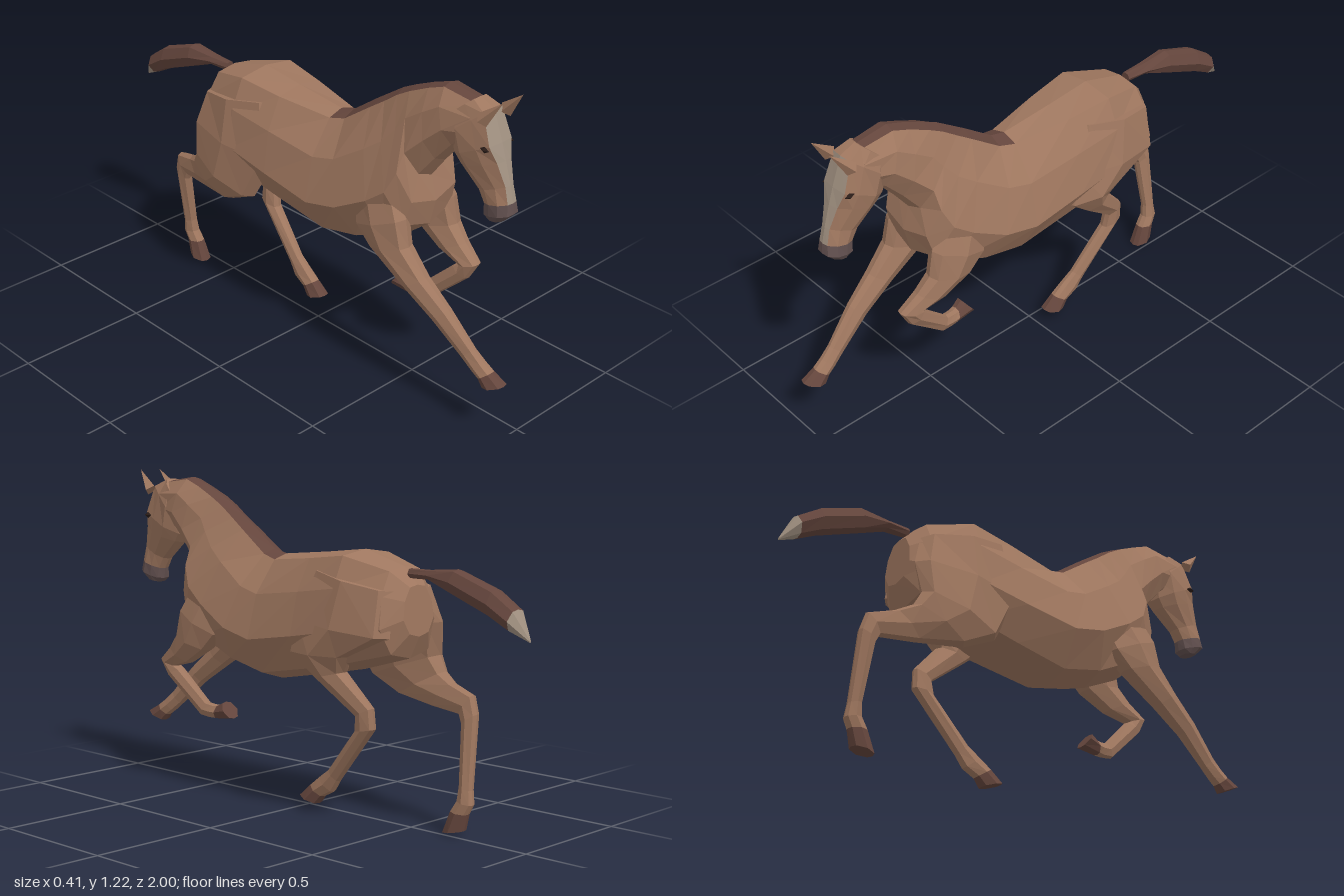
import * as THREE from 'three';

const COAT = 0x9f775f, DARK = 0x65463d, MUZZLE = 0x62504f, PALE = 0xa09080;

// A ring runs from a front/top point to a back/bottom point, widened sideways at each level
const LEVELS = { 3: [0.08, 0.5, 0.92], 4: [0.04, 0.3, 0.65, 0.93] };
function ring([z1, y1, z2, y2], x, widths) {
  const at = (t, dx) => new THREE.Vector3(x + dx, y1 + (y2 - y1) * t, z1 + (z2 - z1) * t);
  const levels = LEVELS[widths.length];
  const left = levels.map((t, k) => at(t, widths[k]));
  const right = levels.map((t, k) => at(t, -widths[k])).reverse();
  return [at(0, 0), ...left, at(1, 0), ...right];
}

// Skin over the rings; pick(segment, side) chooses which faces belong to the mesh
function skin(rings, pick = () => true, capStart = true, capEnd = true) {
  const pos = [], n = rings[0].length;
  const tri = (...p) => p.forEach(v => pos.push(v.x, v.y, v.z));
  for (let i = 0; i < rings.length - 1; i++) {
    for (let j = 0; j < n; j++) {
      if (!pick(i, j)) continue;
      const k = (j + 1) % n;
      const a = rings[i][j], b = rings[i][k], c = rings[i + 1][k], d = rings[i + 1][j];
      tri(a, d, c);
      tri(a, c, b);
    }
  }
  const cap = (r, flip) => {
    for (let j = 1; j < n - 1; j++) flip ? tri(r[0], r[j + 1], r[j]) : tri(r[0], r[j], r[j + 1]);
  };
  if (capStart) cap(rings[0], false);
  if (capEnd) cap(rings[rings.length - 1], true);
  const g = new THREE.BufferGeometry();
  g.setAttribute('position', new THREE.Float32BufferAttribute(pos, 3));
  g.computeVertexNormals();
  return g;
}

function part(parent, name, geometry, color) {
  const mesh = new THREE.Mesh(geometry, new THREE.MeshStandardMaterial({ color, flatShading: true }));
  mesh.name = name;
  parent.add(mesh);
  return mesh;
}

// Limb rows: front z, front y, back z, back y, x, half width; the last segments may be another colour
function limb(parent, name, rows, endName, endColor, color = COAT, endSegments = 1) {
  const group = new THREE.Group();
  group.name = name;
  parent.add(group);
  const rings = rows.map(r => ring(r, r[4], [0.6, 1, 0.6].map(k => k * r[5])));
  const split = rows.length - 1 - endSegments;
  part(group, name + 'Upper', skin(rings, i => i < split, true, false), color);
  part(group, endName, skin(rings, i => i >= split, false, true), endColor);
}

export function createModel() {
  const horse = new THREE.Group();
  horse.name = 'gallopingHorse';

  // Trunk and neck, from rump to poll: top z, top y, bottom z, bottom y, four half widths
  const trunk = [
    [-0.52, 0.86, -0.53, 0.68, 0.04, 0.07, 0.08, 0.05],
    [-0.46, 0.92, -0.49, 0.60, 0.08, 0.13, 0.15, 0.10],
    [-0.28, 0.97, -0.28, 0.54, 0.12, 0.17, 0.19, 0.13],
    [-0.10, 0.95, -0.08, 0.50, 0.10, 0.16, 0.19, 0.12],
    [0.12, 0.93, 0.14, 0.46, 0.06, 0.15, 0.19, 0.11],
    [0.18, 0.945, 0.32, 0.50, 0.05, 0.14, 0.185, 0.11],
    [0.30, 1.03, 0.47, 0.57, 0.045, 0.12, 0.17, 0.12],
    [0.36, 1.07, 0.56, 0.64, 0.04, 0.105, 0.16, 0.12],
    [0.42, 1.11, 0.585, 0.74, 0.04, 0.09, 0.14, 0.11],
    [0.48, 1.14, 0.56, 0.83, 0.04, 0.08, 0.11, 0.06],
    [0.56, 1.175, 0.62, 0.91, 0.035, 0.08, 0.095, 0.05],
    [0.63, 1.20, 0.69, 0.99, 0.035, 0.075, 0.085, 0.05],
    [0.78, 1.18, 0.74, 1.02, 0.03, 0.06, 0.065, 0.04],
  ].map(r => ring(r, 0, r.slice(4)));
  const isMane = (i, j) => i >= 4 && (j === 0 || j === 9);
  part(horse, 'body', skin(trunk, (i, j) => !isMane(i, j)), COAT);
  part(horse, 'mane', skin(trunk, isMane, false, false), DARK);

  // Head, from poll to lips
  const head = new THREE.Group();
  head.name = 'head';
  horse.add(head);
  const skull = [
    [0.76, 1.19, 0.68, 1.12, 0.03, 0.05, 0.06, 0.04],
    [0.82, 1.165, 0.665, 1.04, 0.045, 0.06, 0.075, 0.04],
    [0.86, 1.06, 0.675, 0.97, 0.055, 0.065, 0.07, 0.035],
    [0.88, 1.00, 0.70, 0.94, 0.035, 0.055, 0.06, 0.03],
    [0.905, 0.92, 0.785, 0.87, 0.02, 0.035, 0.04, 0.025],
    [0.92, 0.86, 0.81, 0.83, 0.022, 0.04, 0.04, 0.025],
    [0.925, 0.82, 0.815, 0.79, 0.028, 0.045, 0.042, 0.03],
    [0.89, 0.785, 0.83, 0.775, 0.02, 0.03, 0.03, 0.02],
  ].map(r => ring(r, 0, r.slice(4)));
  const isBlaze = (i, j) => i >= 1 && i < 5 && (j === 0 || j === 9);
  part(head, 'face', skin(skull, (i, j) => i < 5 && !isBlaze(i, j), true, false), COAT);
  part(head, 'blaze', skin(skull, isBlaze, false, false), PALE);
  part(head, 'muzzle', skin(skull, i => i >= 5, false, true), MUZZLE);

  // Eyes and ears
  for (const s of [1, -1]) {
    const eye = part(head, 'eye', new THREE.OctahedronGeometry(0.02), 0x2a1c18);
    eye.scale.set(0.5, 0.6, 1);
    eye.position.set(s * 0.061, 1.045, 0.838);
    const ear = part(head, 'ear', new THREE.ConeGeometry(0.026, 0.11, 4).translate(0, 0.04, 0), COAT);
    ear.position.set(s * 0.058, 1.155, 0.83);
    ear.rotation.set(0.75, 0, s * 0.1);
  }

  // Hind legs
  limb(horse, 'leftHindLeg', [
    [-0.14, 0.90, -0.49, 0.84, 0.09, 0.08],
    [-0.07, 0.72, -0.50, 0.68, 0.12, 0.08],
    [-0.05, 0.60, -0.32, 0.60, 0.13, 0.07],
    [-0.16, 0.51, -0.28, 0.54, 0.115, 0.05],
    [-0.32, 0.385, -0.39, 0.42, 0.085, 0.03],
    [-0.31, 0.33, -0.395, 0.345, 0.08, 0.03],
    [-0.17, 0.17, -0.215, 0.13, 0.065, 0.025],
    [-0.12, 0.135, -0.185, 0.085, 0.062, 0.028],
    [-0.075, 0.10, -0.135, 0.06, 0.06, 0.03],
    [-0.025, 0.055, -0.11, 0.03, 0.06, 0.038],
  ], 'hoof', DARK);
  limb(horse, 'rightHindLeg', [
    [-0.14, 0.90, -0.49, 0.84, -0.09, 0.08],
    [-0.10, 0.68, -0.53, 0.72, -0.12, 0.08],
    [-0.20, 0.50, -0.51, 0.60, -0.14, 0.07],
    [-0.33, 0.44, -0.54, 0.545, -0.135, 0.05],
    [-0.50, 0.42, -0.60, 0.515, -0.11, 0.035],
    [-0.645, 0.41, -0.70, 0.485, -0.09, 0.03],
    [-0.66, 0.38, -0.72, 0.42, -0.085, 0.03],
    [-0.68, 0.17, -0.73, 0.16, -0.05, 0.025],
    [-0.675, 0.12, -0.738, 0.11, -0.045, 0.028],
    [-0.65, 0.08, -0.72, 0.075, -0.042, 0.03],
    [-0.62, 0.0, -0.705, 0.015, -0.04, 0.038],
  ], 'hoof', DARK);

  // Front legs: the right reaches forward, the left is folded; both share a shoulder
  const shoulder = s => [
    [0.48, 0.84, 0.30, 0.72, s * 0.09, 0.06],
    [0.56, 0.70, 0.34, 0.61, s * 0.12, 0.06],
    [0.58, 0.60, 0.41, 0.55, s * 0.123, 0.055],
  ];
  limb(horse, 'rightFrontLeg', [
    ...shoulder(-1),
    [0.66, 0.51, 0.57, 0.45, -0.12, 0.045],
    [0.76, 0.425, 0.70, 0.365, -0.11, 0.035],
    [0.87, 0.31, 0.82, 0.265, -0.095, 0.025],
    [0.91, 0.275, 0.865, 0.23, -0.09, 0.028],
    [0.945, 0.25, 0.895, 0.21, -0.087, 0.03],
    [1.0, 0.22, 0.915, 0.185, -0.085, 0.038],
  ], 'hoof', DARK);
  limb(horse, 'leftFrontLeg', [
    ...shoulder(1),
    [0.63, 0.545, 0.52, 0.49, 0.115, 0.045],
    [0.70, 0.49, 0.62, 0.465, 0.105, 0.035],
    [0.665, 0.425, 0.60, 0.455, 0.10, 0.032],
    [0.505, 0.28, 0.475, 0.335, 0.075, 0.025],
    [0.46, 0.275, 0.44, 0.33, 0.07, 0.027],
    [0.43, 0.275, 0.42, 0.33, 0.065, 0.03],
    [0.345, 0.285, 0.39, 0.345, 0.06, 0.038],
  ], 'hoof', DARK);

  // Tail streaming back to a pale tip
  limb(horse, 'tail', [
    [-0.49, 0.88, -0.49, 0.915, 0, 0.02],
    [-0.58, 0.88, -0.58, 0.915, 0, 0.03],
    [-0.68, 0.84, -0.70, 0.925, 0, 0.045],
    [-0.85, 0.775, -0.86, 0.87, 0, 0.05],
    [-0.93, 0.735, -0.95, 0.81, 0, 0.048],
    [-1.0, 0.705, -1.0, 0.715, 0, 0.005],
  ], 'tailTip', PALE, DARK);

  return horse;
}
